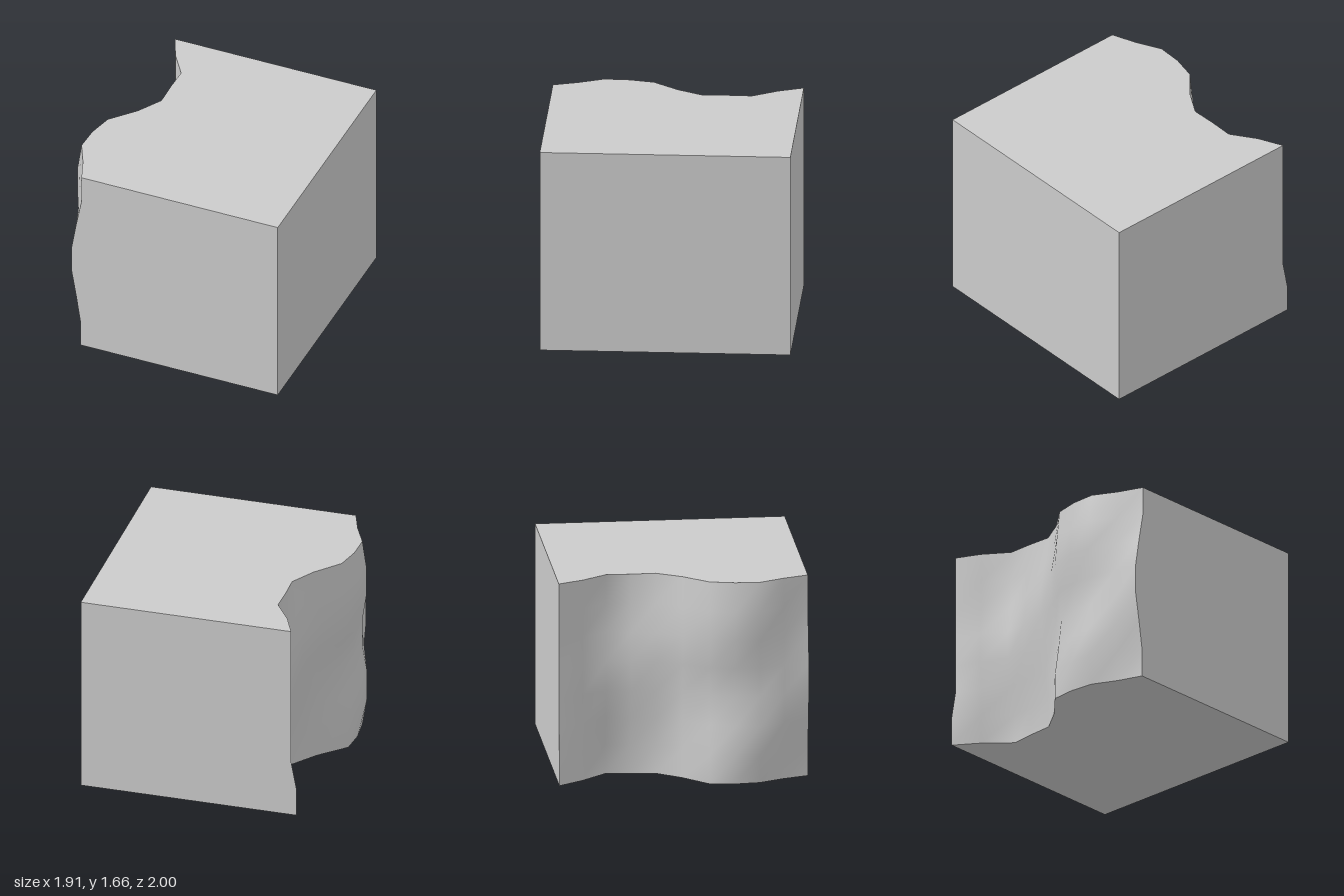
import * as THREE from 'three';

const HEIGHT = 1.66, RIGHT = 0.955, NZ = 10, NY = 7;

// Plan profile of the eroded side, from back (z = -1) to front (z = 1)
const plan = [-0.79, -0.7, -0.565, -0.59, -0.605, -0.71, -0.87, -0.912, -0.915, -0.84, -0.79];

// Ripples up the height (bottom to top) at six stations from back to front
const ripples = [
  [-0.045, -0.045, 0, 0, 0, 0, 0, 0],
  [0.04, 0.035, 0, -0.035, -0.035, 0, 0, 0],
  [0.045, 0.04, 0, -0.02, -0.045, -0.045, 0, 0.04],
  [-0.045, -0.04, 0, 0.03, 0, -0.04, -0.02, 0.01],
  [0, -0.04, -0.04, 0, 0, -0.035, -0.035, 0],
  [0.035, 0.035, 0, -0.04, -0.04, 0, 0.045, 0.045],
];

const zAt = (i) => -1 + (2 * i) / NZ;
const yAt = (j) => (HEIGHT * j) / NY;

// x of the eroded side at grid point (i along z, j up y)
function wallX(i, j) {
  const a = ripples[Math.floor(i / 2)][j];
  const b = ripples[Math.ceil(i / 2)][j];
  return plan[i] + (a + b) / 2;
}

// Grid surface from a point rule; it faces along (u direction) x (v direction)
function sheet(name, nu, nv, point, material) {
  const positions = [], index = [];
  for (let u = 0; u <= nu; u++) {
    for (let v = 0; v <= nv; v++) positions.push(...point(u, v));
  }
  for (let u = 0; u < nu; u++) {
    for (let v = 0; v < nv; v++) {
      const a = u * (nv + 1) + v, b = a + nv + 1;
      index.push(a, b, b + 1, a, b + 1, a + 1);
    }
  }
  const geometry = new THREE.BufferGeometry();
  geometry.setAttribute('position', new THREE.Float32BufferAttribute(positions, 3));
  geometry.setIndex(index);
  geometry.computeVertexNormals();
  const mesh = new THREE.Mesh(geometry, material);
  mesh.name = name;
  return mesh;
}

export function createModel() {
  const group = new THREE.Group();
  group.name = 'cliffBlock';
  const material = new THREE.MeshStandardMaterial({ color: 0xcccccc });

  // A cap runs from the eroded edge (k = 0) to the straight side (k = 1)
  const edge = (i, j, k) => [k ? RIGHT : wallX(i, j), yAt(j), zAt(i)];

  group.add(
    sheet('erodedSide', NZ, NY, (i, j) => edge(i, j, 0), material),
    sheet('straightSide', NY, NZ, (j, i) => edge(i, j, 1), material),
    sheet('topFace', NZ, 1, (i, k) => edge(i, NY, k), material),
    sheet('bottomFace', 1, NZ, (k, i) => edge(i, 0, k), material),
    sheet('frontFace', 1, NY, (k, j) => edge(NZ, j, k), material),
    sheet('backFace', NY, 1, (j, k) => edge(0, j, k), material),
  );
  return group;
}
